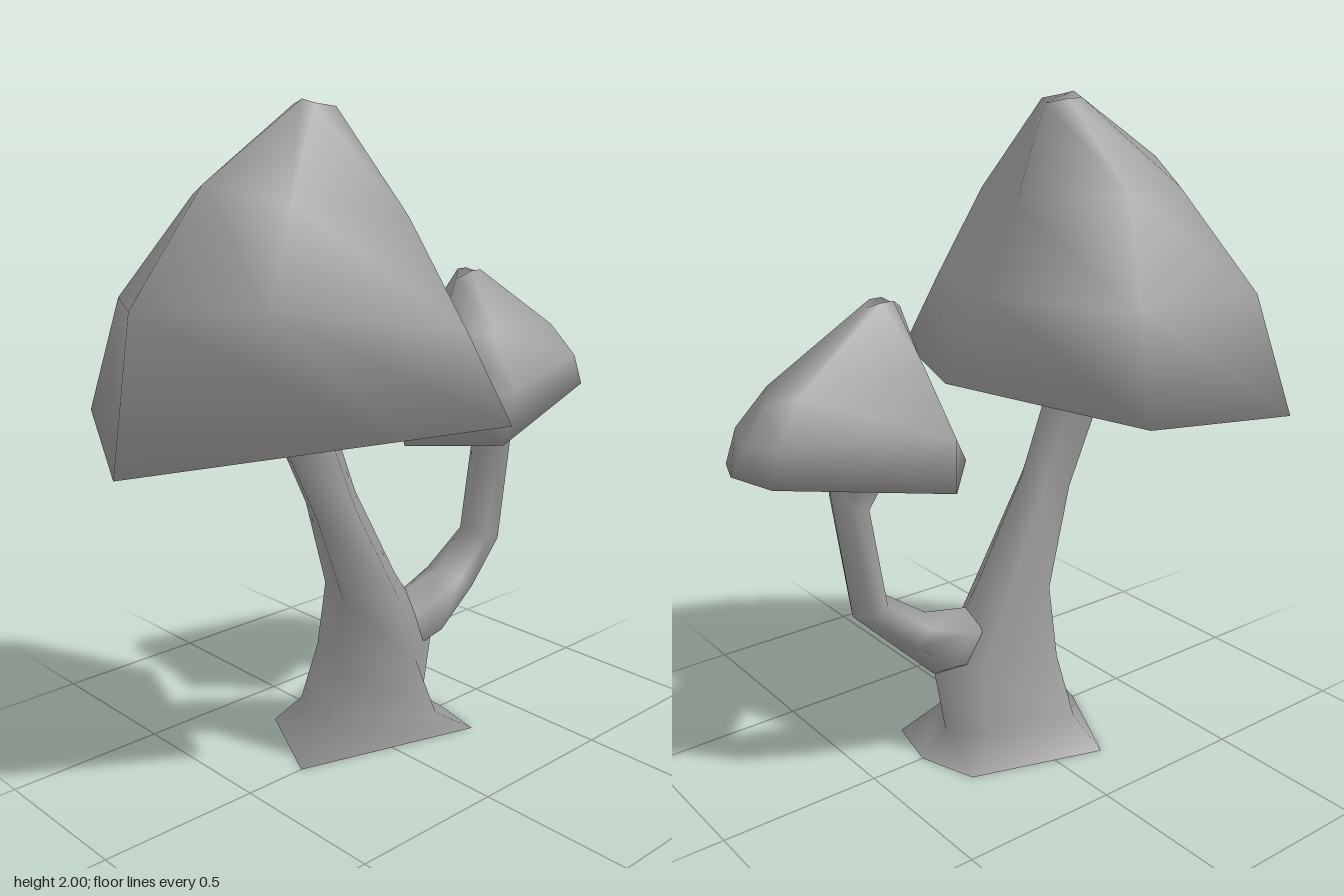
import * as THREE from 'three';

const material = new THREE.MeshStandardMaterial({ color: 0x9c9c9c, side: THREE.DoubleSide });

// Smooth skin over rings of [x, y, z] points, each ordered right, back, left, front; closed at the end
function loft(name, rings) {
  const n = rings[0].length;
  const last = (rings.length - 1) * n;
  const index = [];
  for (let i = 0; i < rings.length - 1; i++) {
    for (let j = 0; j < n; j++) {
      const a = i * n + j, b = i * n + (j + 1) % n;
      index.push(a, b, a + n, b, b + n, a + n);
    }
  }
  for (let j = 1; j < n - 1; j++) index.push(last, last + j, last + j + 1);
  const geometry = new THREE.BufferGeometry();
  geometry.setAttribute('position', new THREE.Float32BufferAttribute(rings.flat(2), 3));
  geometry.setIndex(index);
  geometry.computeVertexNormals();
  const mesh = new THREE.Mesh(geometry, material);
  mesh.name = name;
  return mesh;
}

// Ring pulled towards a centre, then lifted
const shrink = (ring, [cx, cy, cz], s, lift) =>
  ring.map(([x, y, z]) => [cx + (x - cx) * s, cy + (y - cy) * s + lift, cz + (z - cz) * s]);

// Six-sided section between a left and a right point, with a half depth
function section([lx, ly, rx, ry, depth]) {
  return Array.from({ length: 6 }, (_, j) => {
    const a = j * Math.PI / 3, t = (1 + Math.cos(a)) / 2;
    return [lx + (rx - lx) * t, ly + (ry - ly) * t, -depth * Math.sin(a) / Math.sin(Math.PI / 3)];
  });
}

// Half ring mirrored in z; its first and last points lie on the mirror plane
const mirrored = (half) => [
  ...half.map(([x, y, z]) => [x, y, -z]),
  ...half.slice(1, -1).reverse(),
];

// Hollow cap: underside from the neck out to the rim, then up to the tip
const cap = (name, rings, center, hollow, neck) => loft(name, [
  shrink(rings[0], center, 0.15, neck),
  shrink(rings[0], center, 0.6, hollow),
  ...rings,
]);

export function createModel() {
  const model = new THREE.Group();
  model.name = 'mushrooms';

  // Large angular cap
  model.add(cap('largeCap', [
    [[0.21, 1.2, 0], [-0.04, 1.16, -0.59], [-0.61, 1.09, -0.59], [-0.91, 1.06, 0], [-0.3, 1.13, 0.41], [-0.04, 1.16, 0.585]],
    [[0.07, 1.44, 0], [-0.1, 1.45, -0.47], [-0.57, 1.44, -0.47], [-0.84, 1.49, 0], [-0.57, 1.48, 0.22], [-0.1, 1.41, 0.47]],
    [[-0.05, 1.7, 0], [-0.19, 1.75, -0.31], [-0.42, 1.74, -0.29], [-0.6, 1.79, 0], [-0.45, 1.74, 0.17], [-0.15, 1.7, 0.3]],
    [[-0.15, 1.97, 0], [-0.19, 1.985, -0.06], [-0.24, 1.985, -0.06], [-0.26, 2, 0], [-0.25, 1.99, 0.04], [-0.19, 1.98, 0.06]],
  ], [-0.26, 1.13, 0], 0.1, 0.13));

  // Small angular cap
  model.add(cap('smallCap', [
    mirrored([[0.9, 1.07, 0], [0.85, 1.06, 0.13], [0.34, 0.96, 0.23], [0.14, 0.95, 0]]),
    mirrored([[0.86, 1.14, 0], [0.82, 1.16, 0.12], [0.36, 1.13, 0.26], [0.22, 1.1, 0]]),
    mirrored([[0.79, 1.24, 0], [0.74, 1.27, 0.08], [0.38, 1.3, 0.15], [0.29, 1.27, 0]]),
    mirrored([[0.47, 1.46, 0], [0.44, 1.475, 0.03], [0.4, 1.475, 0.03], [0.36, 1.45, 0]]),
  ], [0.53, 1.01, 0], 0.05, 0.06));

  // Five-sided flared trunk, open at the foot
  model.add(loft('trunk', [
    [[0.32, 0, 0], [0.26, 0, -0.18], [-0.15, 0, -0.31], [-0.3, 0, 0], [0.28, 0, 0.18]],
    [[0.23, 0.07, 0], [0.17, 0.1, -0.14], [-0.11, 0.1, -0.22], [-0.21, 0.12, 0.02], [0.16, 0.08, 0.13]],
    [[0.27, 0.29, 0], [0.17, 0.3, -0.11], [-0.08, 0.3, -0.17], [-0.18, 0.32, 0.03], [0.06, 0.3, 0.135]],
    [[0.1, 0.54, 0], [0.06, 0.53, -0.1], [-0.08, 0.52, -0.13], [-0.15, 0.53, 0.03], [-0.01, 0.52, 0.13]],
    [[-0.07, 0.85, 0], [-0.1, 0.84, -0.08], [-0.19, 0.82, -0.09], [-0.24, 0.8, 0.02], [-0.15, 0.83, 0.09]],
    [[-0.15, 1.06, 0], [-0.19, 1.05, -0.08], [-0.3, 1.04, -0.08], [-0.35, 1.03, 0.02], [-0.24, 1.05, 0.09]],
    [[-0.13, 1.15, 0], [-0.18, 1.14, -0.1], [-0.31, 1.13, -0.1], [-0.36, 1.12, 0.02], [-0.24, 1.14, 0.1]],
    [[-0.06, 1.27, 0], [-0.15, 1.27, -0.15], [-0.35, 1.26, -0.15], [-0.44, 1.25, 0.02], [-0.24, 1.27, 0.15]],
  ]));

  // Bent side branch: left x, left y, right x, right y, half depth
  model.add(loft('branch', [
    [-0.06, 0.4, 0.0, 0.22, 0.04],
    [0.15, 0.47, 0.27, 0.28, 0.075],
    [0.3, 0.5, 0.41, 0.42, 0.075],
    [0.44, 0.6, 0.55, 0.56, 0.06],
    [0.49, 0.89, 0.605, 0.94, 0.06],
    [0.43, 1.0, 0.61, 1.03, 0.09],
    [0.4, 1.05, 0.65, 1.09, 0.1],
  ].map(section)));

  return model;
}
